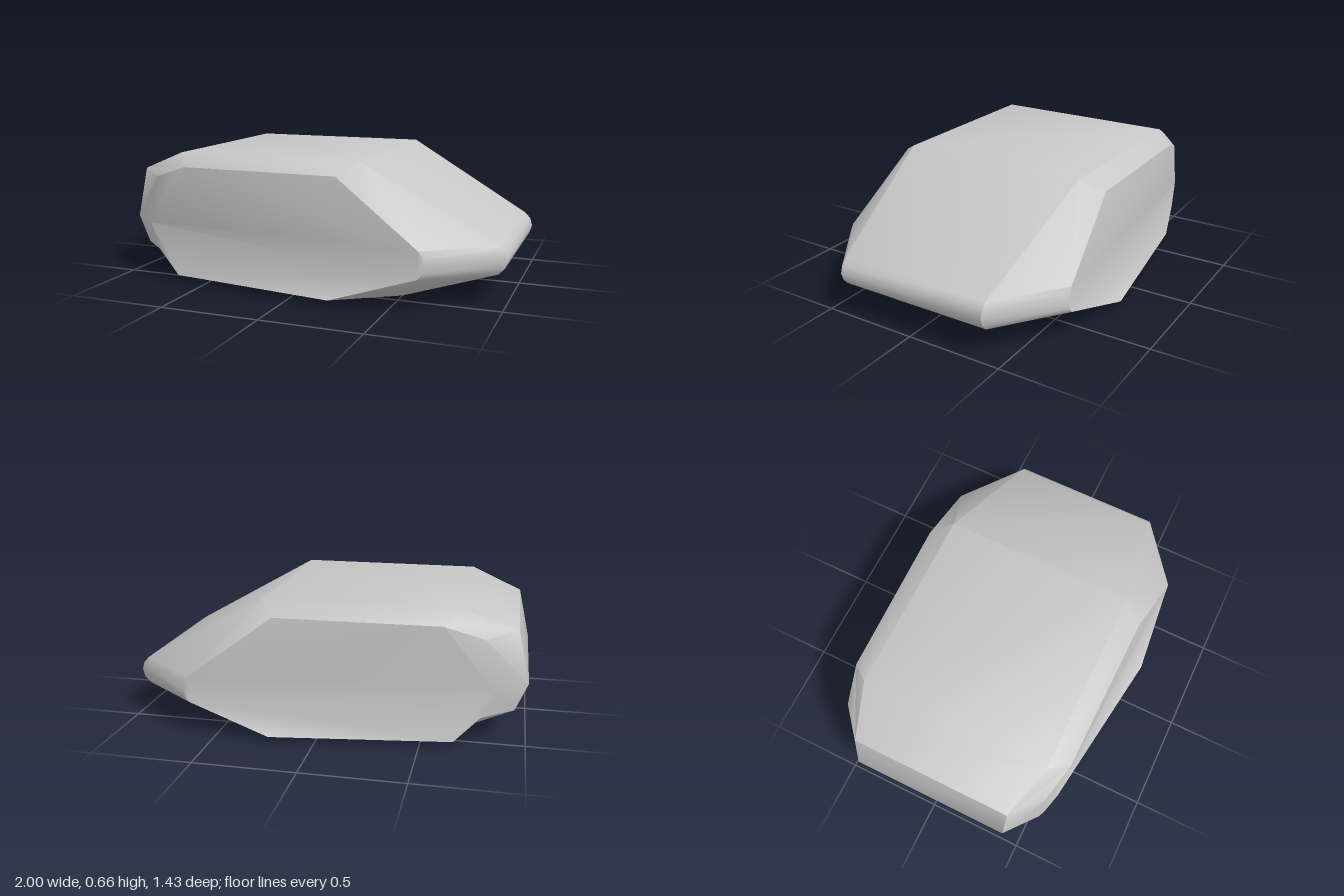
import * as THREE from 'three';
import { toCreasedNormals } from 'three/addons/utils/BufferGeometryUtils.js';

// Outline points, counter-clockwise seen from +z: inner ring [x, y, z], outer (flank) ring [x, y, z]
const OUTLINE = [
  [[-0.60, 0.00, 0.42], [-0.66, 0.03, 0.59]],
  [[0.50, 0.00, 0.42], [0.22, 0.03, 0.715]],
  [[0.96, 0.15, 0.41], [0.64, 0.16, 0.665]],   // rounded nose
  [[0.988, 0.18, 0.41], [0.66, 0.185, 0.663]],
  [[1.00, 0.22, 0.41], [0.667, 0.22, 0.661]],
  [[0.988, 0.26, 0.41], [0.66, 0.26, 0.66]],
  [[0.96, 0.29, 0.41], [0.64, 0.29, 0.66]],
  [[0.30, 0.66, 0.50], [0.22, 0.60, 0.61]],    // top
  [[-0.67, 0.66, 0.50], [-0.60, 0.60, 0.597]],
  [[-0.94, 0.555, 0.42], [-0.79, 0.535, 0.552]], // blunt end
  [[-1.00, 0.29, 0.42], [-0.84, 0.29, 0.553]],
  [[-0.94, 0.15, 0.42], [-0.785, 0.155, 0.565]],
];

function buildHull() {
  const inner = OUTLINE.map(p => p[0]);
  const outer = OUTLINE.map(p => p[1]);
  const flip = ring => ring.map(([x, y, z]) => [x, y, -z]);
  const rings = [outer, inner, flip(inner), flip(outer)];
  const pos = [];
  const tri = (a, b, c) => pos.push(...a, ...b, ...c);

  // Skin between neighbouring rings, diagonals mirrored front to back
  for (let r = 0; r < 3; r++) {
    const a = rings[r], b = rings[r + 1];
    for (let i = 0; i < a.length; i++) {
      const j = (i + 1) % a.length;
      if (r < 2) {
        tri(a[i], b[i], b[j]);
        tri(a[i], b[j], a[j]);
      } else {
        tri(a[i], b[i], a[j]);
        tri(b[i], b[j], a[j]);
      }
    }
  }

  // Flank faces
  const flat = outer.map(([x, y]) => new THREE.Vector2(x, y));
  for (const [i, j, k] of THREE.ShapeUtils.triangulateShape(flat, [])) {
    tri(rings[0][i], rings[0][j], rings[0][k]);
    tri(rings[3][i], rings[3][k], rings[3][j]);
  }

  const geometry = new THREE.BufferGeometry();
  geometry.setAttribute('position', new THREE.Float32BufferAttribute(pos, 3));
  return toCreasedNormals(geometry, THREE.MathUtils.degToRad(40));
}

export function createModel() {
  const group = new THREE.Group();
  group.name = 'facetedHull';
  const grey = new THREE.MeshStandardMaterial({ color: 0xc8c8c8 });
  grey.name = 'light grey';
  const hull = new THREE.Mesh(buildHull(), grey);
  hull.name = 'hull';
  group.add(hull);
  return group;
}
